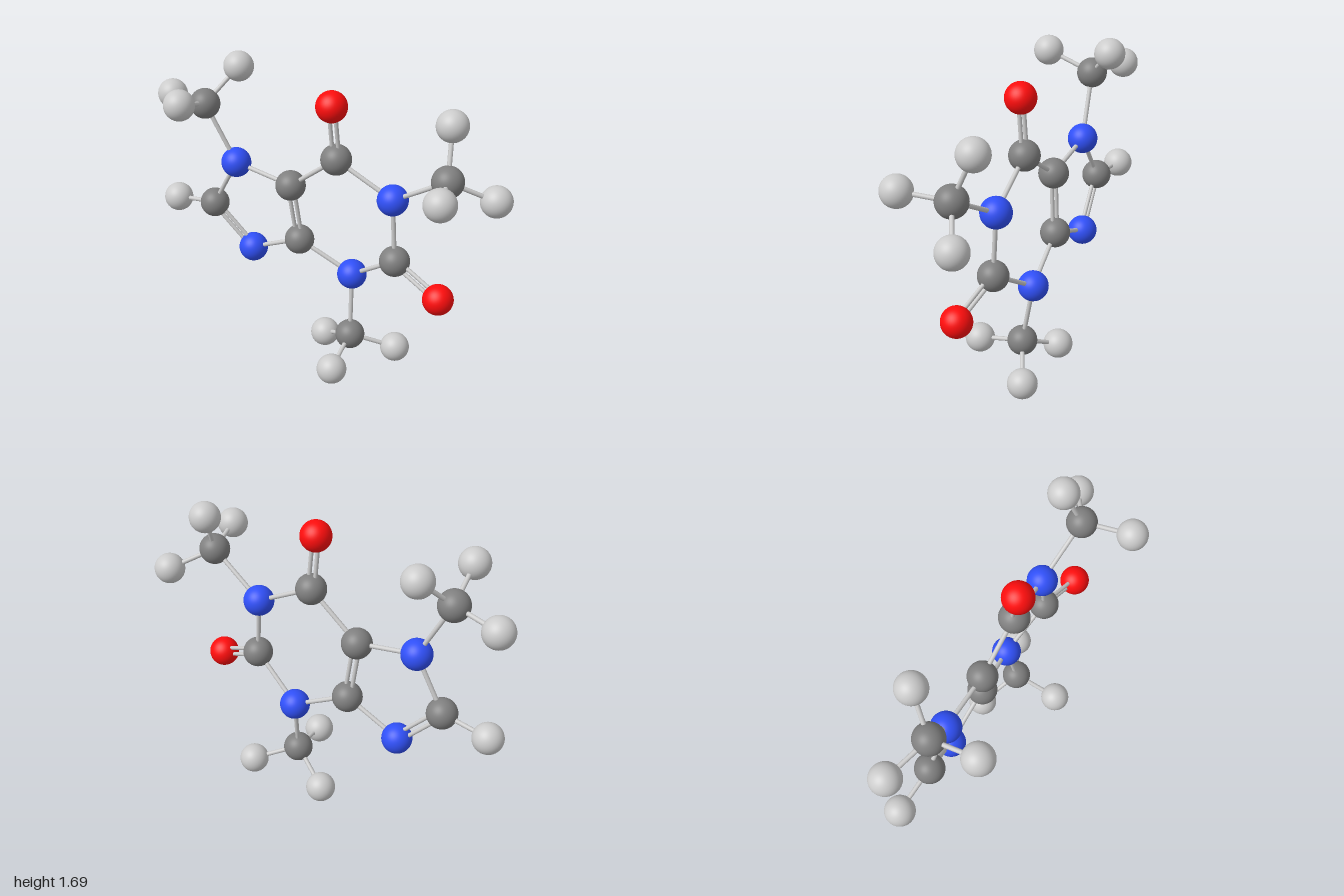
import * as THREE from 'three';

const ATOM_RADIUS = 0.081;
const COLORS = { carbon: 0x808080, hydrogen: 0xcccccc, nitrogen: 0x3050f8, oxygen: 0xff0d0d };

// Atoms: key -> [element, x, y, z]
const ATOMS = {
  // fused five- and six-sided rings
  N7: ['nitrogen', -0.496, 1.114, -0.02],
  C8: ['carbon', -0.66, 0.82, -0.015],
  N9: ['nitrogen', -0.438, 0.577, -0.075],
  C4: ['carbon', -0.133, 0.718, -0.1],
  C5: ['carbon', -0.163, 1.055, -0.063],
  C6: ['carbon', 0.115, 1.279, -0.08],
  N1: ['nitrogen', 0.422, 1.116, -0.14],
  C2: ['carbon', 0.451, 0.767, -0.138],
  N3: ['nitrogen', 0.166, 0.565, -0.175],
  // atoms hanging off the rings
  H8: ['hydrogen', -0.919, 0.783, 0.002],
  O6: ['oxygen', 0.104, 1.576, -0.049],
  O2: ['oxygen', 0.724, 0.641, -0.126],
  // lower methyl group
  Ca: ['carbon', 0.195, 0.206, -0.125],
  Ha1: ['hydrogen', -0.029, 0.082, -0.205],
  Ha2: ['hydrogen', 0.246, 0.142, 0.128],
  Ha3: ['hydrogen', 0.398, 0.114, -0.277],
  // left-hand upper methyl group
  Cb: ['carbon', 0.727, 1.314, -0.131],
  Hb1: ['hydrogen', 0.681, 1.56, -0.226],
  Hb2: ['hydrogen', 0.823, 1.328, 0.116],
  Hb3: ['hydrogen', 0.917, 1.199, -0.289],
  // right-hand upper methyl group
  Cc: ['carbon', -0.651, 1.436, 0.034],
  Hc1: ['hydrogen', -0.914, 1.418, -0.003],
  Hc2: ['hydrogen', -0.599, 1.524, 0.287],
  Hc3: ['hydrogen', -0.552, 1.615, -0.135],
};

const SINGLE_BONDS = [
  'N7 C8', 'N7 C5', 'N9 C4', 'C5 C6', 'C6 N1', 'N1 C2', 'C2 N3', 'N3 C4', 'C8 H8',
  'N3 Ca', 'Ca Ha1', 'Ca Ha2', 'Ca Ha3',
  'N1 Cb', 'Cb Hb1', 'Cb Hb2', 'Cb Hb3',
  'N7 Cc', 'Cc Hc1', 'Cc Hc2', 'Cc Hc3',
];
const DOUBLE_BONDS = ['C8 N9', 'C4 C5', 'C6 O6', 'C2 O2'];

export function createModel() {
  const model = new THREE.Group();
  model.name = 'molecule';

  // Ball for every atom
  const ball = new THREE.SphereGeometry(ATOM_RADIUS, 40, 28);
  const materials = {};
  for (const [element, color] of Object.entries(COLORS)) {
    materials[element] = new THREE.MeshStandardMaterial({ color });
  }
  const atoms = new THREE.Group();
  atoms.name = 'atoms';
  const at = {};
  for (const [key, [element, x, y, z]] of Object.entries(ATOMS)) {
    const mesh = new THREE.Mesh(ball, materials[element]);
    mesh.name = element + 'Atom';
    mesh.position.set(x, y, z);
    at[key] = mesh.position;
    atoms.add(mesh);
  }

  // Rods joining the atoms
  const bonds = new THREE.Group();
  bonds.name = 'bonds';
  const rodMaterial = new THREE.MeshStandardMaterial({ color: 0xcccccc });
  const up = new THREE.Vector3(0, 1, 0);
  const front = new THREE.Vector3(0, 0, 1);

  function addRod(pair, radius, offset, name) {
    const [a, b] = pair.split(' ').map((key) => at[key]);
    const along = b.clone().sub(a);
    const length = along.length();
    along.normalize();
    const rod = new THREE.Mesh(new THREE.CylinderGeometry(radius, radius, length, 16), rodMaterial);
    rod.name = name;
    rod.quaternion.setFromUnitVectors(up, along);
    rod.position.copy(a).add(b).multiplyScalar(0.5);
    if (offset) rod.position.addScaledVector(along.clone().cross(front).normalize(), offset);
    bonds.add(rod);
  }

  for (const pair of SINGLE_BONDS) addRod(pair, 0.012, 0, 'singleBond');
  for (const pair of DOUBLE_BONDS) {
    for (const side of [-1, 1]) addRod(pair, 0.011, side * 0.019, 'doubleBondRod');
  }

  model.add(atoms, bonds);
  return model;
}
